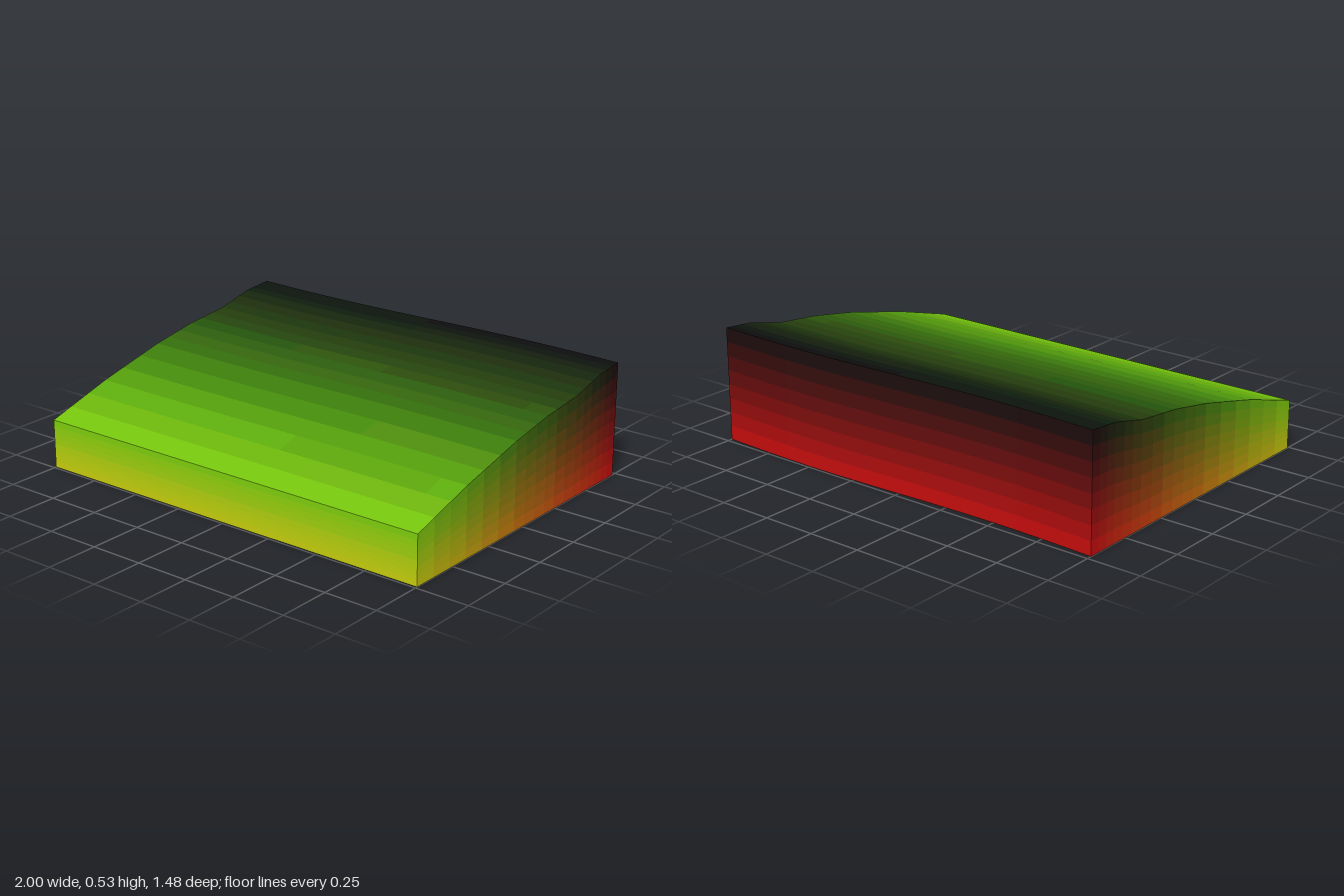
import * as THREE from 'three';

// Slope profile from front to back: [z, height]
const PROFILE = [[0.74, 0.225], [0.41, 0.32], [0.06, 0.402], [-0.17, 0.443],
  [-0.4, 0.468], [-0.58, 0.513], [-0.73, 0.527]];
const FRONT = 0.74, DEPTH = 1.47, TOP = 0.527;
const SUB = 3;                            // steps per profile section
const ROWS = (PROFILE.length - 1) * SUB;  // front to back
const COLS = 16;                          // left to right
const LEVELS = 8;                         // bottom to top

// Grid point of the block: column, row (0 = front) and level (0 = ground)
function gridPoint(col, row, level) {
  const k = Math.min(Math.floor(row / SUB), PROFILE.length - 2);
  const f = row / SUB - k;
  const [z0, h0] = PROFILE[k], [z1, h1] = PROFILE[k + 1];
  const s = (FRONT - THREE.MathUtils.lerp(z0, z1, f)) / DEPTH;
  const x = (col / COLS) * 2 - 1;
  const z = FRONT - s * (DEPTH - 0.003 + 0.015 * Math.sin(Math.PI * x));
  const swell = 0.005 * Math.sin(Math.PI * s) * (1 - x) / 2;
  const h = THREE.MathUtils.lerp(h0, h1, f) + swell;
  return new THREE.Vector3(x, h * level / LEVELS, z);
}

// Red fades upward, green fades toward the back
const palette = new Map();
function tint(p) {
  const level = v => Math.round(THREE.MathUtils.clamp(v, 0, 1) * 24) / 24;
  const r = level(1 - p.y / TOP), g = level((p.z + 0.73) / DEPTH);
  const key = r + ',' + g;
  if (!palette.has(key)) {
    const color = new THREE.Color().setRGB(0.05 + 0.75 * r, 0.05 + 0.75 * g, 0.05, THREE.SRGBColorSpace);
    palette.set(key, new THREE.MeshStandardMaterial({ color, flatShading: true }));
  }
  return palette.get(key);
}

// One side of the block as tinted tiles; at(u, v) has u x v pointing outward
function side(name, nu, nv, at) {
  const positions = [], materials = [];
  const geometry = new THREE.BufferGeometry();
  for (let v = 0; v < nv; v++) {
    for (let u = 0; u < nu; u++) {
      const a = at(u, v), b = at(u + 1, v), c = at(u + 1, v + 1), d = at(u, v + 1);
      const material = tint(a.clone().add(c).multiplyScalar(0.5));
      let slot = materials.indexOf(material);
      if (slot < 0) slot = materials.push(material) - 1;
      geometry.addGroup(positions.length / 3, 6, slot);
      for (const p of [a, b, c, a, c, d]) positions.push(p.x, p.y, p.z);
    }
  }
  geometry.setAttribute('position', new THREE.Float32BufferAttribute(positions, 3));
  geometry.computeVertexNormals();
  const mesh = new THREE.Mesh(geometry, materials);
  mesh.name = name;
  return mesh;
}

export function createModel() {
  const model = new THREE.Group();
  model.name = 'slopedGroundBlock';
  model.add(
    side('slopeTop', COLS, ROWS, (u, v) => gridPoint(u, v, LEVELS)),
    side('underside', COLS, ROWS, (u, v) => gridPoint(u, ROWS - v, 0)),
    side('frontWall', COLS, LEVELS, (u, v) => gridPoint(u, 0, v)),
    side('backWall', COLS, LEVELS, (u, v) => gridPoint(COLS - u, ROWS, v)),
    side('leftWall', ROWS, LEVELS, (u, v) => gridPoint(COLS, u, v)),
    side('rightWall', ROWS, LEVELS, (u, v) => gridPoint(0, ROWS - u, v)),
  );
  return model;
}
